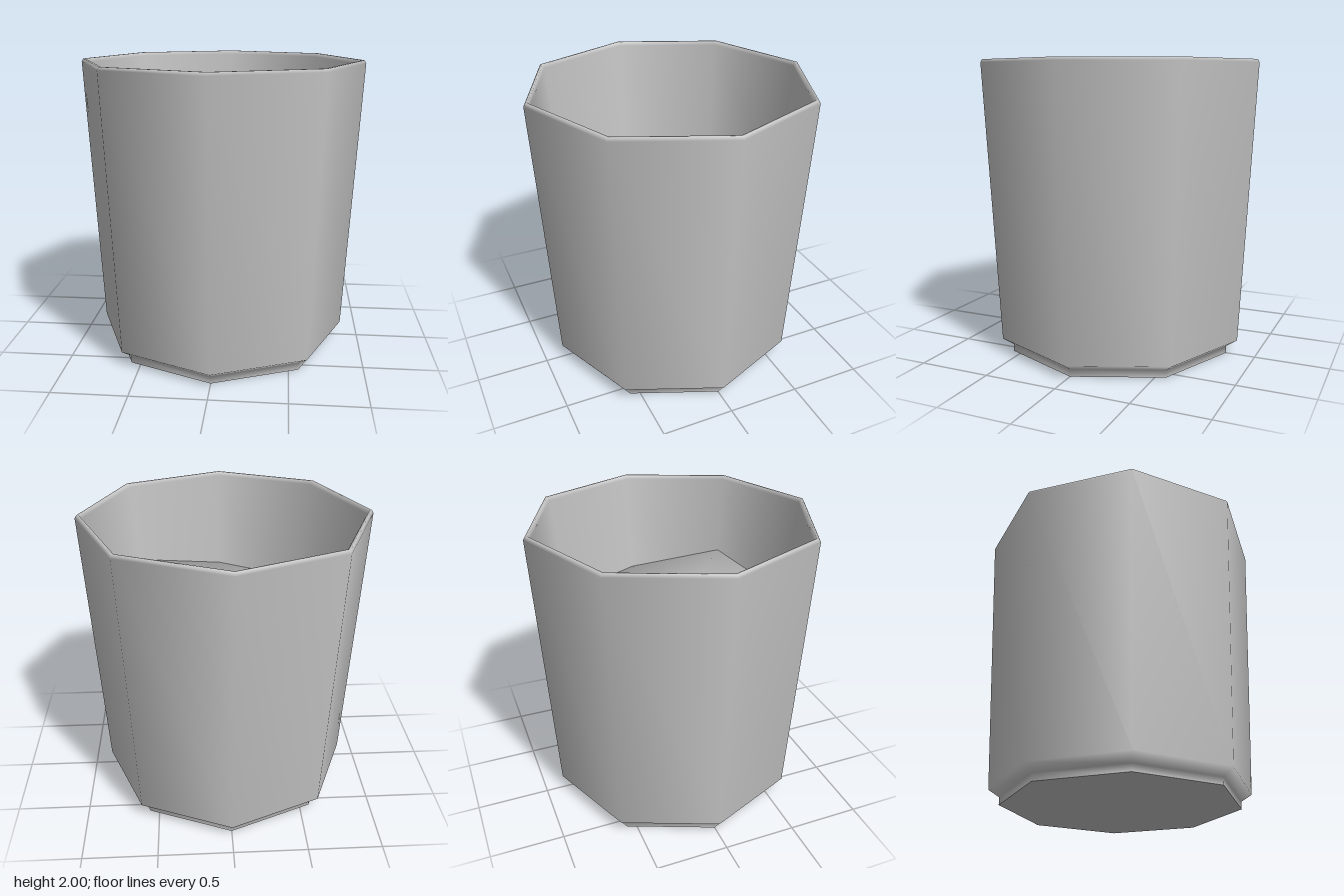
import * as THREE from 'three';

const SIDES = 8;

// Radius of the tapering inner wall at a given height
const innerRadius = (y) => 0.93 - (1.975 - y) * 0.094;

// Lumpy fill: a domed eight-sided plug with uneven corner heights
function fillGeometry() {
  const heights = [1.29, 1.43, 1.29, 1.25, 1.12, 1.25, 1.385, 1.27]; // from +x towards +z
  const positions = [0, 1.31, 0];
  const indices = [];
  heights.forEach((y, i) => {
    const a = (i / SIDES) * Math.PI * 2;
    const r = innerRadius(y) + 0.003;
    positions.push(r * Math.cos(a), y, r * Math.sin(a));
  });
  for (let i = 0; i < SIDES; i++) {
    const a = (i / SIDES) * Math.PI * 2;
    positions.push(0.8 * Math.cos(a), 0.9, 0.8 * Math.sin(a));
  }
  for (let i = 0; i < SIDES; i++) {
    const j = (i + 1) % SIDES;
    const [t0, t1, b0, b1] = [1 + i, 1 + j, 9 + i, 9 + j];
    indices.push(0, t1, t0, t0, t1, b0, t1, b1, b0);
  }
  const g = new THREE.BufferGeometry();
  g.setAttribute('position', new THREE.Float32BufferAttribute(positions, 3));
  g.setIndex(indices);
  g.computeVertexNormals();
  return g;
}

export function createModel() {
  const group = new THREE.Group();
  group.name = 'pot';
  const grey = new THREE.MeshStandardMaterial({ color: 0xc4c4c4 });
  grey.name = 'grey';

  const add = (name, geometry) => {
    const mesh = new THREE.Mesh(geometry, grey);
    mesh.name = name;
    group.add(mesh);
    return mesh;
  };

  // Foot, outer wall, bevelled rim, inner wall and inner floor in one profile
  const profile = [
    [0.8, 0], [0.8, 0.05], [0.875, 0.1],
    [0.97, 1.98], [0.958, 2], [0.942, 2], [0.93, 1.975],
    [innerRadius(0.9), 0.9], [innerRadius(0.15), 0.15], [0, 0.15],
  ].map(([x, y]) => new THREE.Vector2(x, y));
  add('potWall', new THREE.LatheGeometry(profile, SIDES));

  // Flat underside
  add('potBase', new THREE.CircleGeometry(0.8, SIDES)).rotation.x = Math.PI / 2;

  add('soil', fillGeometry());
  return group;
}
